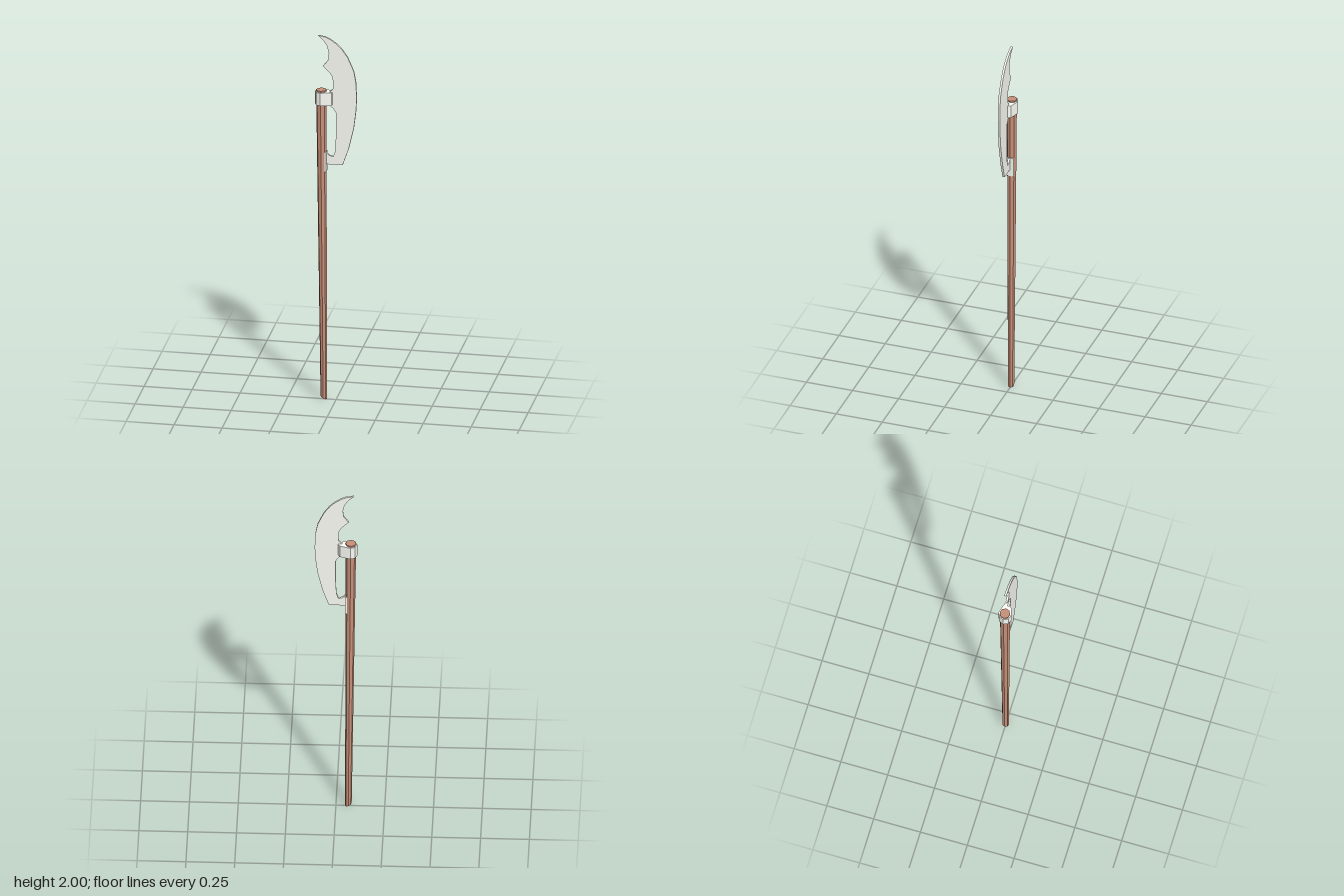
import * as THREE from 'three';

const steel = new THREE.MeshStandardMaterial({ color: 0xfbfbf5, flatShading: true });
const wood = new THREE.MeshStandardMaterial({ color: 0xc68f78, flatShading: true });

const outline = (points) => new THREE.Shape(points.map(([x, y]) => new THREE.Vector2(x, y)));
const extrude = (points, depth) =>
  new THREE.ExtrudeGeometry(outline(points), { depth, bevelEnabled: false });

export function createModel() {
  const group = new THREE.Group();
  const add = (name, geometry, material) => {
    const mesh = new THREE.Mesh(geometry, material);
    mesh.name = name;
    group.add(mesh);
  };

  // Octagonal shaft: tapers and leans slightly, with a slanted foot
  const shaft = new THREE.CylinderGeometry(0.027, 0.017, 1.7, 8);
  shaft.translate(0, 0.85, 0);
  const p = shaft.attributes.position;
  for (let i = 0; i < p.count; i++) {
    const t = p.getY(i) / 1.7;
    if (t < 0.5) p.setY(i, 0.009 - p.getX(i) * 0.5);
    p.setX(i, p.getX(i) - 0.064 - 0.013 * t);
  }
  shaft.computeVertexNormals();
  add('shaft', shaft, wood);

  // Collar: teardrop sleeve that narrows toward the blade
  const half = [[-0.099, 0.025], [-0.077, 0.034], [-0.055, 0.028], [-0.021, 0.016]];
  const collar = extrude([
    [-0.11, 0], ...half.map(([x, z]) => [x, -z]),
    [-0.011, 0], ...half.slice().reverse(),
  ], 0.07);
  collar.rotateX(-Math.PI / 2).translate(0, 1.622, 0);
  add('collar', collar, steel);

  // Crescent blade: swept tip, back spike and a long gap beside the shaft
  const blade = extrude([
    [-0.092, 2.0], [-0.064, 1.975], [-0.045, 1.945], [-0.036, 1.905], [-0.04, 1.868],
    [-0.066, 1.834], [-0.03, 1.797], [-0.018, 1.778], [-0.013, 1.745], [-0.014, 1.712],
    [-0.036, 1.688], [-0.036, 1.622], [-0.014, 1.605], [0.001, 1.582], [0.001, 1.45],
    [-0.003, 1.37], [-0.013, 1.339], [-0.034, 1.345], [-0.05, 1.362], [-0.052, 1.296],
    [0.036, 1.296], [0.067, 1.386], [0.094, 1.502], [0.106, 1.6], [0.109, 1.67],
    [0.105, 1.755], [0.094, 1.815], [0.062, 1.889], [0.031, 1.933], [0.006, 1.958],
    [-0.025, 1.98], [-0.055, 1.994],
  ], 0.011);
  add('blade', blade, steel);

  // Mounting plate where the lower blade arm meets the shaft
  const plate = new THREE.BoxGeometry(0.01, 0.106, 0.037);
  plate.translate(-0.053, 1.309, 0);
  add('mountingPlate', plate, steel);

  return group;
}
